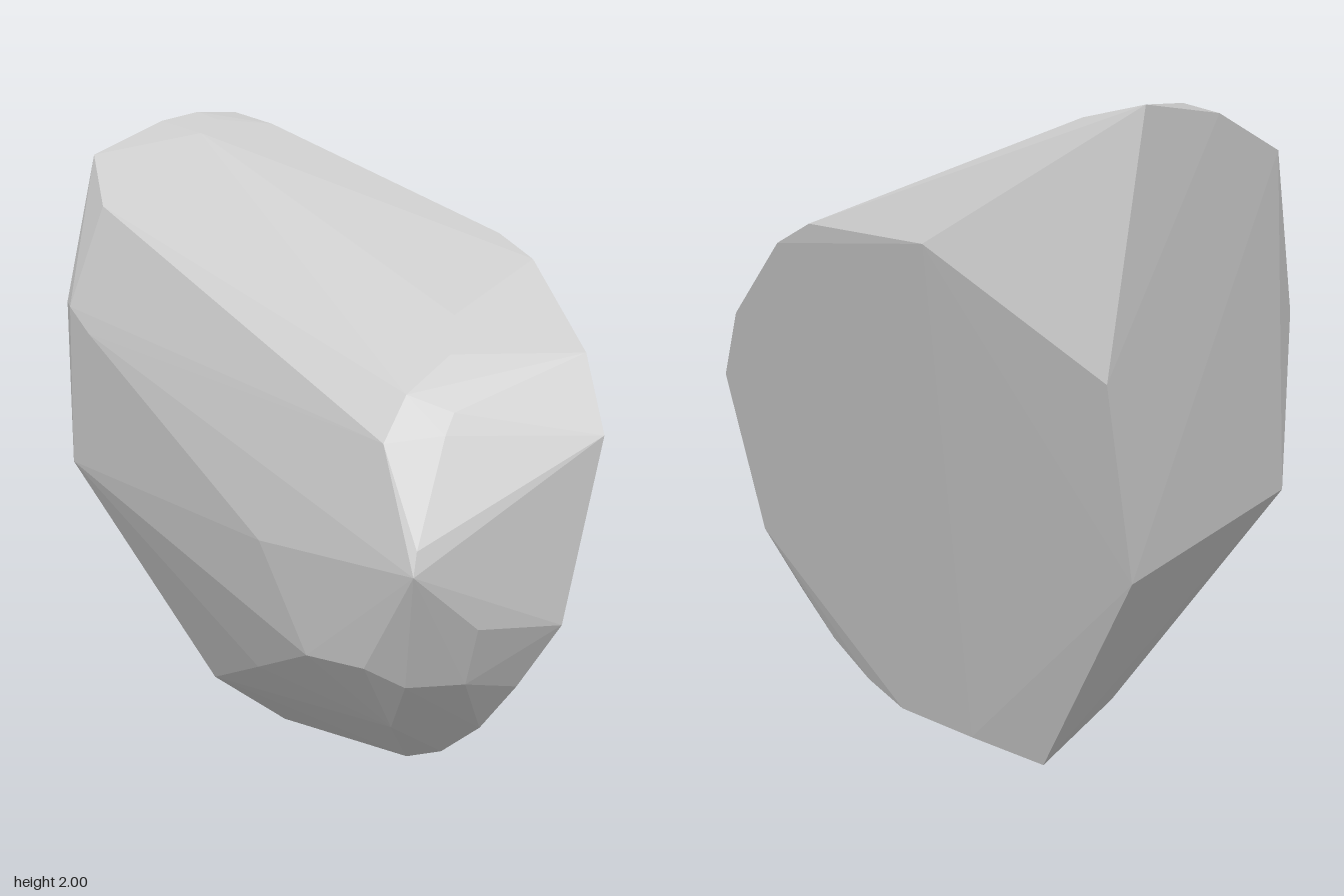
import * as THREE from 'three';
import { ConvexGeometry } from 'three/addons/geometries/ConvexGeometry.js';

export function createModel() {
  const stone = new THREE.MeshStandardMaterial({ color: 0xc8c8c8 });
  stone.name = 'grey stone';

  // Rim of the large flat cleaved side: [y, z, inset], x follows its tilted plane
  const cleavedRim = [
    [0.02, -0.05, 0], [0.03, 0.27, 0], [0.09, 0.43, 0.01], [0.2, 0.58, 0.015],
    [0.35, 0.7, 0.015], [0.55, 0.82, 0], [1.09, 0.85, 0], [1.31, 0.72, 0],
    [1.56, 0.43, 0], [1.63, 0.27, 0], [1.61, -0.22, 0],
  ].map(([y, z, inset]) => [Math.min(0.107 + 0.225 * y, 0.465) - inset, y, z]);

  // Back face and the peak
  const back = [
    [0.23, 2.0, -0.82], [0.08, 2.0, -0.82], [-0.05, 1.97, -0.84],
    [-0.31, 1.86, -0.845], [-0.44, 1.39, -0.81], [-0.43, 0.86, -0.81],
    [0.24, 0.71, -0.81], [0.36, 1.28, -0.815], [0.23, 1.96, -0.6],
    [0.09, 1.975, -0.72], [-0.02, 1.93, -0.65],
  ];

  // Rounded far side, from the back shoulder to the front
  const side = [
    [-0.47, 1.38, -0.74], [-0.37, 1.7, -0.69], [-0.46, 1.3, -0.64],
    [-0.34, 0.75, 0.13], [-0.2, 1.08, 0.54], [-0.2, 0.8, 0.69],
    [-0.22, 0.73, 0.7], [-0.22, 0.42, 0.48], [-0.27, 0.42, 0.27],
    [-0.22, 0.3, -0.05],
  ];

  // Chipped front brow
  const brow = [
    [-0.11, 1.21, 0.53], [-0.02, 1.28, 0.48], [0.15, 1.41, 0.43],
    [0.06, 1.31, 0.52], [-0.01, 1.16, 0.62], [-0.05, 1.1, 0.63],
  ];

  // Lower front and the narrow foot
  const foot = [
    [-0.02, 0.56, 0.745], [0, 0.38, 0.67], [-0.14, 0.37, 0.57],
    [-0.07, 0.2, 0.42], [-0.15, 0.17, -0.4], [0.08, 0, -0.33],
  ];

  const points = [...cleavedRim, ...back, ...side, ...brow, ...foot]
    .map((p) => new THREE.Vector3(...p));
  const rock = new THREE.Mesh(new ConvexGeometry(points), stone);
  rock.name = 'rock';

  const group = new THREE.Group();
  group.name = 'boulder';
  group.add(rock);
  return group;
}
